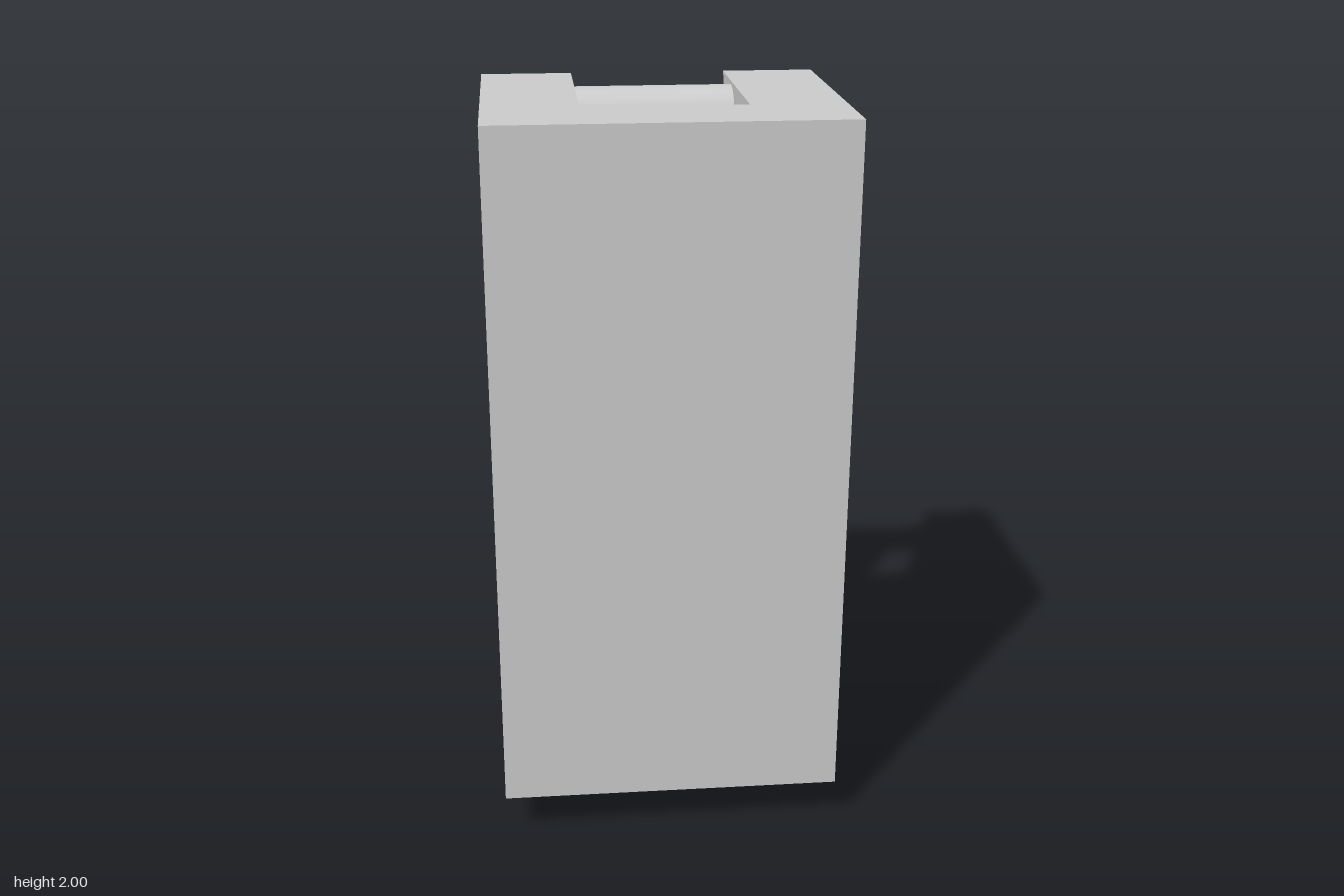
import * as THREE from 'three';

const HALF = 0.465, SLOT = 0.215;
const mat = new THREE.MeshStandardMaterial({ color: 0xcccccc });

export function createModel() {
  const model = new THREE.Group();
  const add = (name, geometry, parent = model) => {
    const mesh = new THREE.Mesh(geometry, mat);
    mesh.name = name;
    parent.add(mesh);
    return mesh;
  };

  // Side cheeks: (z, y) outline with sloped back and a foot at the base
  const outline = [
    [0.383, 0.127], [0.383, 2], [-0.382, 2], [0.033, 1.365], [0.156, 0.797],
    [0.156, 0.38], [0.032, 0.335], [-0.1, 0.28], [-0.197, 0.145], [-0.21, 0], [0.156, 0.127],
  ];
  const shape = new THREE.Shape(outline.map(([z, y]) => new THREE.Vector2(z, y)));
  for (const side of [1, -1]) {
    const g = new THREE.ExtrudeGeometry(shape, { depth: HALF - SLOT, bevelEnabled: false });
    g.rotateY(-Math.PI / 2);
    g.translate(side > 0 ? HALF : -SLOT, 0, 0);
    add(side > 0 ? 'leftCheek' : 'rightCheek', g);
  }

  // Front wall joining the cheeks
  const wall = new THREE.BoxGeometry(2 * SLOT, 2 - 0.127, 0.383 - 0.156);
  add('frontWall', wall).position.set(0, (2 + 0.127) / 2, (0.383 + 0.156) / 2);

  // Cross pins that carry the strut
  const pin = (name, y, z, r) => {
    const g = new THREE.CylinderGeometry(r, r, 2 * SLOT + 0.02, 48);
    g.rotateZ(Math.PI / 2);
    add(name, g).position.set(0, y, z);
  };
  pin('upperPin', 1.905, -0.21, 0.085);
  pin('lowerPin', 0.191, 0.058, 0.086);

  // Telescopic strut leaning backwards: [name, start, end, radius] by height
  const strut = new THREE.Group();
  strut.name = 'strut';
  const lean = Math.atan(0.144), base = 0.12;
  strut.position.set(0, base, 0.052);
  strut.rotation.x = -lean;
  model.add(strut);
  const sections = [
    ['lowerSocket', 0.12, 0.453, 0.083],
    ['lowerRod', 0.43, 0.6, 0.062],
    ['sleeve', 0.565, 0.945, 0.083],
    ['upperRod', 0.92, 1.17, 0.071],
    ['upperTube', 1.14, 1.87, 0.081],
  ];
  for (const [name, y0, y1, r] of sections) {
    const length = (y1 - y0) / Math.cos(lean);
    const g = new THREE.CylinderGeometry(r, r, length, 48);
    add(name, g, strut).position.y = (y0 - base) / Math.cos(lean) + length / 2;
  }
  return model;
}
